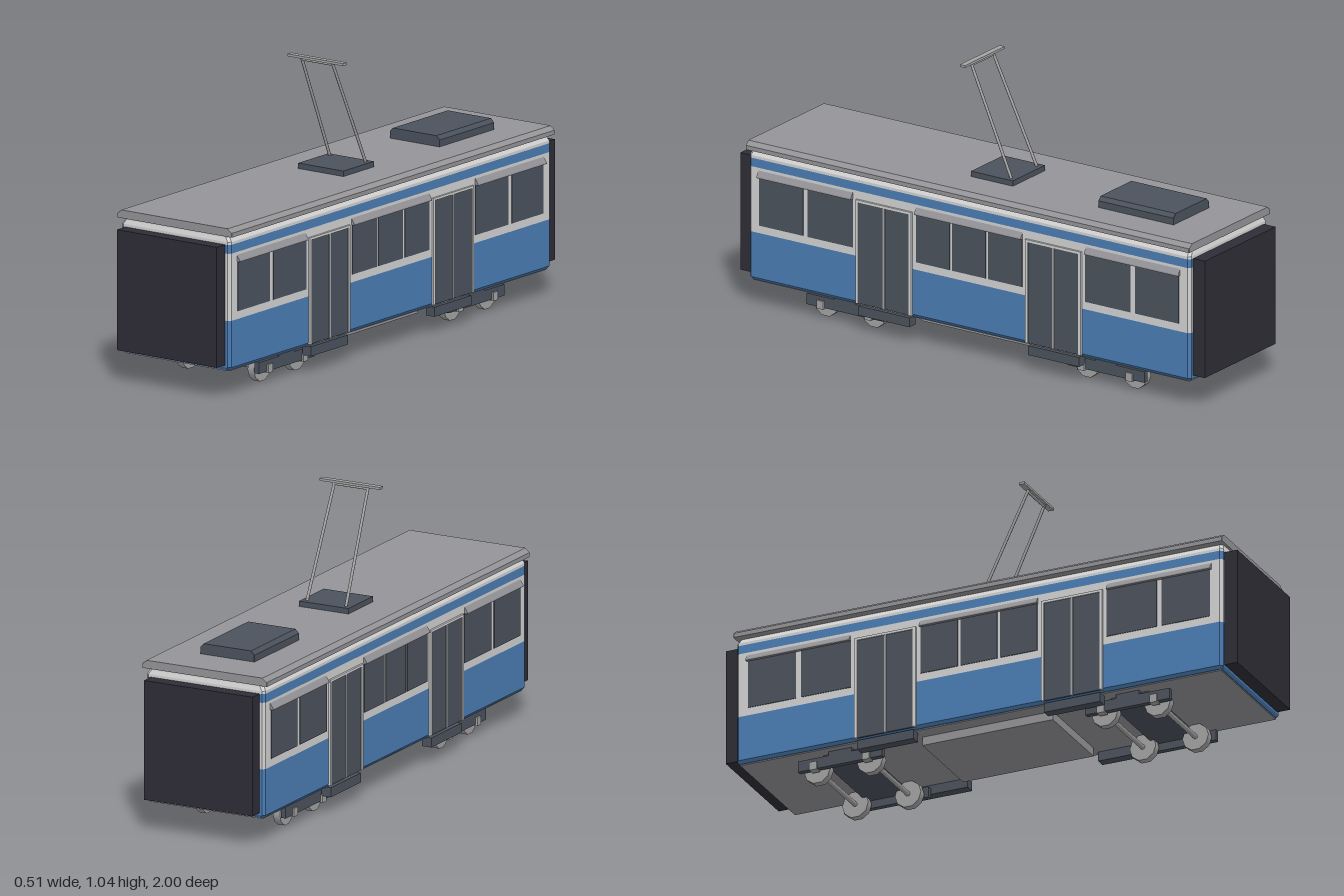
import * as THREE from 'three';

const mat = (name, color) => {
  const m = new THREE.MeshStandardMaterial({ color });
  m.name = name;
  return m;
};

// Stacked rings [y, halfWidth, halfLength] with cut corners, capped at both ends, flat faces
function loft(rings, c) {
  const pts = rings.map(([y, w, l]) => [
    [w, -l + c], [w, l - c], [w - c, l], [-w + c, l],
    [-w, l - c], [-w, -l + c], [-w + c, -l], [w - c, -l],
  ].map(([x, z]) => [x, y, z]));
  const out = [];
  const tri = (...p) => p.forEach((q) => out.push(...q));
  for (let i = 0; i < pts.length - 1; i++) {
    for (let j = 0; j < 8; j++) {
      const k = (j + 1) % 8, lo = pts[i], hi = pts[i + 1];
      tri(lo[j], hi[j], lo[k]);
      tri(lo[k], hi[j], hi[k]);
    }
  }
  const bottom = pts[0], top = pts[pts.length - 1];
  for (let j = 1; j < 7; j++) {
    tri(bottom[0], bottom[j], bottom[j + 1]);
    tri(top[0], top[j + 1], top[j]);
  }
  const g = new THREE.BufferGeometry();
  g.setAttribute('position', new THREE.Float32BufferAttribute(out, 3));
  g.computeVertexNormals();
  return g;
}

export function createModel() {
  const blue = mat('blue paint', 0x4a7db4);
  const white = mat('white paint', 0xd3d3d3);
  const slate = mat('dark slate', 0x4b525d);
  const rubber = mat('gangway rubber', 0x2e2d36);
  const grey = mat('roof grey', 0x949498);
  const metal = mat('bare metal', 0xa3a3a3);

  const model = new THREE.Group();
  model.name = 'tram';
  const add = (parent, name, geo, material) => {
    const m = new THREE.Mesh(geo, material);
    m.name = name;
    parent.add(m);
    return m;
  };
  // Box given by its limits on each axis
  const box = (parent, name, material, x0, x1, y0, y1, z0, z1) => {
    const m = add(parent, name, new THREE.BoxGeometry(Math.abs(x1 - x0), y1 - y0, Math.abs(z1 - z0)), material);
    m.position.set((x0 + x1) / 2, (y0 + y1) / 2, (z0 + z1) / 2);
    return m;
  };
  const rod = (parent, name, a, b, r) => {
    const d = b.clone().sub(a);
    const m = add(parent, name, new THREE.CylinderGeometry(r, r, d.length(), 8), metal);
    m.position.copy(a).add(b).multiplyScalar(0.5);
    m.quaternion.setFromUnitVectors(new THREE.Vector3(0, 1, 0), d.normalize());
    return m;
  };

  // Painted body bands and roof
  add(model, 'lowerBody', loft([[0.102, 0.231, 0.943], [0.113, 0.24, 0.95], [0.283, 0.24, 0.95]], 0.01), blue);
  add(model, 'windowBand', loft([[0.283, 0.24, 0.95], [0.528, 0.24, 0.95]], 0.01), white);
  add(model, 'upperStripe', loft([[0.528, 0.24, 0.95], [0.56, 0.24, 0.95]], 0.01), blue);
  add(model, 'cornice', loft([[0.56, 0.24, 0.95], [0.57, 0.24, 0.95], [0.585, 0.23, 0.945], [0.592, 0.222, 0.945]], 0.01), white);
  add(model, 'roof', loft([[0.591, 0.253, 0.955], [0.607, 0.253, 0.955], [0.621, 0.235, 0.955]], 0.002), grey);
  box(model, 'floor', grey, -0.228, 0.228, 0.098, 0.103, -0.94, 0.94);
  box(model, 'underfloorCase', grey, -0.17, 0.17, 0.066, 0.1, -0.255, 0.255);

  // Gangway ends
  for (const s of [1, -1]) box(model, 'gangway', rubber, -0.22, 0.22, 0.121, 0.56, s * 0.945, s);

  // Side fittings, mirrored left and right
  const windows = [[0.5, 0.695], [0.715, 0.903], [0.083, 0.228], [-0.072, 0.072],
    [-0.228, -0.083], [-0.695, -0.5], [-0.903, -0.715]];
  const awnings = [[0.502, 0.908], [-0.23, 0.23], [-0.908, -0.502]];
  for (const s of [1, -1]) {
    const side = new THREE.Group();
    side.name = s > 0 ? 'leftSide' : 'rightSide';
    model.add(side);
    for (const [a, b] of windows) box(side, 'window', slate, s * 0.239, s * 0.2425, 0.312, 0.495, a, b);

    for (const [a, b] of awnings) {
      const profile = new THREE.Shape([[0.239, 0.493], [0.253, 0.493], [0.253, 0.498], [0.239, 0.519]]
        .map(([x, y]) => new THREE.Vector2(s * x, y)));
      const m = add(side, 'awning', new THREE.ExtrudeGeometry(profile, { depth: b - a, bevelEnabled: false }), grey);
      m.position.z = a;
    }

    for (const z of [0.365, -0.365]) {
      const door = new THREE.Group();
      door.name = 'door';
      side.add(door);
      for (const e of [1, -1]) {
        box(door, 'doorLeaf', slate, s * 0.239, s * 0.2445, 0.108, 0.488, z + e * 0.004, z + e * 0.11);
        box(door, 'doorPost', white, s * 0.238, s * 0.248, 0.108, 0.497, z + e * 0.109, z + e * 0.12);
      }
      box(door, 'doorDivider', metal, s * 0.238, s * 0.2465, 0.108, 0.488, z - 0.004, z + 0.004);
      box(door, 'doorHead', white, s * 0.238, s * 0.248, 0.488, 0.497, z - 0.11, z + 0.11);
      box(door, 'step', slate, s * 0.207, s * 0.244, 0.063, 0.098, z - 0.11, z + 0.11);
    }
  }

  // Bogies with wheels, axles and axle boxes
  for (const zc of [0.562, -0.562]) {
    const bogie = new THREE.Group();
    bogie.name = 'bogie';
    bogie.position.z = zc;
    model.add(bogie);
    box(bogie, 'bolster', slate, -0.18, 0.18, 0.07, 0.1, -0.075, 0.075);
    for (const s of [1, -1]) {
      box(bogie, 'sideFrame', slate, s * 0.182, s * 0.202, 0.042, 0.083, -0.165, 0.165);
      box(bogie, 'springSeat', slate, s * 0.182, s * 0.202, 0.083, 0.1, -0.045, 0.045);
      for (const z of [0.103, -0.103]) {
        const wheel = add(bogie, 'wheel', new THREE.CylinderGeometry(0.051, 0.051, 0.028, 10), metal);
        wheel.rotation.z = Math.PI / 2;
        wheel.position.set(s * 0.158, 0.05, z);
        box(bogie, 'axleBox', metal, s * 0.18, s * 0.209, 0.037, 0.068, z - 0.014, z + 0.014);
      }
    }
    for (const z of [0.103, -0.103]) {
      rod(bogie, 'axle', new THREE.Vector3(-0.185, 0.05, z), new THREE.Vector3(0.185, 0.05, z), 0.009);
    }
  }

  // Roof equipment
  const unit = add(model, 'roofUnit', loft([[0.618, 0.11, 0.162], [0.646, 0.11, 0.162], [0.66, 0.096, 0.162]], 0.001), slate);
  unit.position.z = -0.627;

  // Current collector
  const collector = new THREE.Group();
  collector.name = 'currentCollector';
  model.add(collector);
  box(collector, 'collectorBase', slate, -0.1, 0.1, 0.618, 0.641, -0.09, 0.09);
  for (const s of [1, -1]) {
    rod(collector, 'collectorArm', new THREE.Vector3(s * 0.079, 0.638, -0.07), new THREE.Vector3(s * 0.068, 1.034, 0.112), 0.0055);
  }
  rod(collector, 'collectorCrossbar', new THREE.Vector3(-0.07, 1.028, 0.109), new THREE.Vector3(0.07, 1.028, 0.109), 0.005);
  box(collector, 'contactStrip', metal, -0.123, 0.123, 1.033, 1.042, 0.1, 0.122);

  return model;
}
